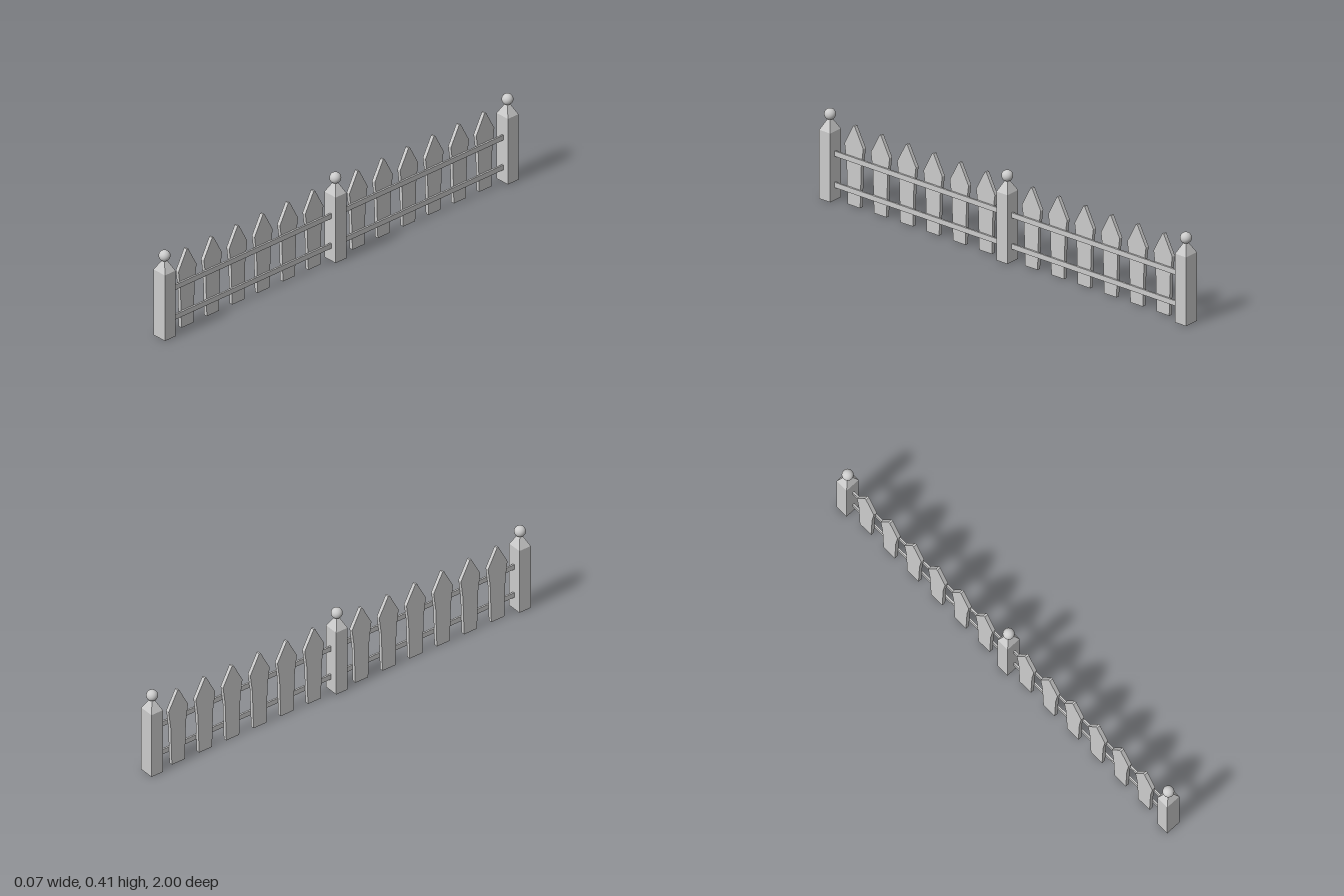
import * as THREE from 'three';

const flat = new THREE.MeshStandardMaterial({ color: 0xcccccc, flatShading: true });
const smooth = new THREE.MeshStandardMaterial({ color: 0xcccccc });

function addMesh(parent, name, geometry, material, x, y, z) {
  const mesh = new THREE.Mesh(geometry, material);
  mesh.name = name;
  mesh.position.set(x, y, z);
  parent.add(mesh);
  return mesh;
}

// Square post with a pyramid shoulder: four-sided lathe, squared up and scaled
function postGeometry() {
  const profile = [[0, 0], [1, 0], [1, 0.315], [0.17, 0.367], [0, 0.367]]
    .map(([r, y]) => new THREE.Vector2(r * Math.SQRT2, y));
  const geo = new THREE.LatheGeometry(profile, 4);
  geo.rotateY(Math.PI / 4);
  geo.scale(0.035, 1, 0.03);
  return geo;
}

// Picket outline in (z, y), widening from foot to shoulder, extruded along x
function picketGeometry() {
  const half = [[0.034, 0], [0.04, 0.19], [0.051, 0.275], [0.004, 0.366]];
  const outline = [...half, ...half.map(([w, y]) => [-w, y]).reverse()];
  const shape = new THREE.Shape(outline.map(([w, y]) => new THREE.Vector2(w, y)));
  const geo = new THREE.ExtrudeGeometry(shape, { depth: 0.017, bevelEnabled: false });
  geo.rotateY(-Math.PI / 2);
  return geo;
}

export function createModel() {
  const fence = new THREE.Group();
  fence.name = 'picketFence';

  // Posts with ball finials
  const postZ = [0.97, 0.004, -0.97];
  const postGeo = postGeometry();
  const ballGeo = new THREE.SphereGeometry(0.025, 32, 20);
  for (const z of postZ) {
    const post = new THREE.Group();
    post.name = 'post';
    post.position.z = z;
    addMesh(post, 'postBody', postGeo, flat, 0, 0, 0);
    addMesh(post, 'ballFinial', ballGeo, smooth, 0, 0.385, 0);
    fence.add(post);
  }

  // Two panels, each with a pair of rails and six pickets behind them
  const picketGeo = picketGeometry();
  [0.84, -0.127].forEach((firstZ, i) => {
    const panel = new THREE.Group();
    panel.name = 'panel';
    const length = postZ[i] - postZ[i + 1] - 0.05;
    const middle = (postZ[i] + postZ[i + 1]) / 2;
    const railGeo = new THREE.BoxGeometry(0.008, 0.024, length);
    addMesh(panel, 'lowerRail', railGeo, flat, 0.004, 0.071, middle);
    addMesh(panel, 'upperRail', railGeo, flat, 0.004, 0.214, middle);
    for (let k = 0; k < 6; k++) {
      addMesh(panel, 'picket', picketGeo, flat, 0, 0, firstZ - k * 0.1435);
    }
    fence.add(panel);
  });

  return fence;
}
